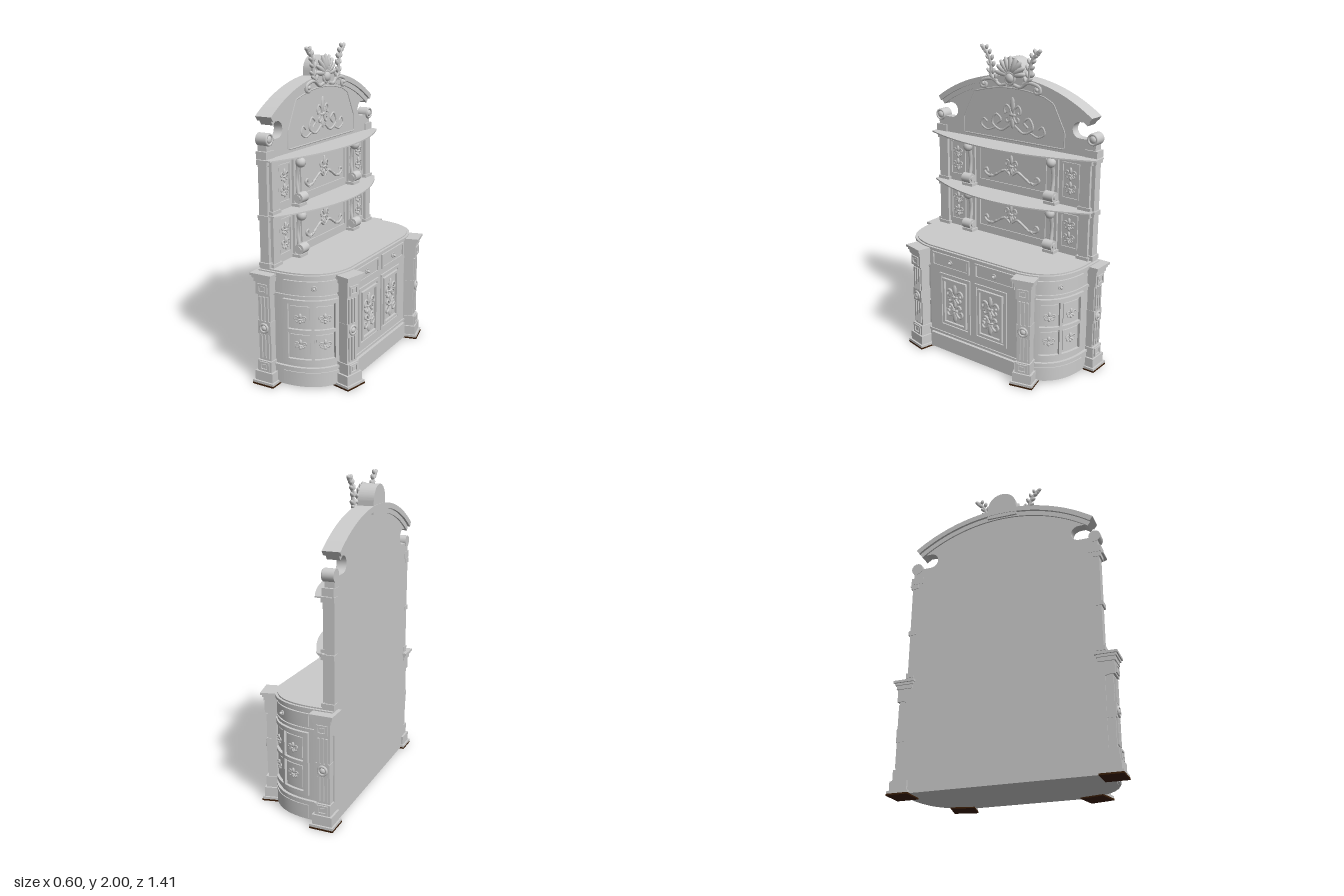
import * as THREE from 'three';
import { toCreasedNormals } from 'three/addons/utils/BufferGeometryUtils.js';

const grey = new THREE.MeshStandardMaterial({ color: 0xcccccc, side: THREE.DoubleSide });
const brown = new THREE.MeshStandardMaterial({ color: 0x3a1e08 });
const V = (x, y, z = 0) => new THREE.Vector3(x, y, z);

function add(parent, name, geo, x = 0, y = 0, z = 0, mat = grey) {
  const m = new THREE.Mesh(geo, mat);
  m.name = name;
  m.position.set(x, y, z);
  parent.add(m);
  return m;
}
function group(parent, name, x = 0, y = 0, z = 0) {
  const g = new THREE.Group();
  g.name = name;
  g.position.set(x, y, z);
  parent.add(g);
  return g;
}
// box given by centre x, bottom/top y and back/front z
const block = (p, name, x, w, y0, y1, z0, z1, mat) =>
  add(p, name, new THREE.BoxGeometry(w, y1 - y0, z1 - z0), x, (y0 + y1) / 2, (z0 + z1) / 2, mat);
// ellipsoid with half sizes
function blob(p, name, x, y, z, a, b, c, turn = 0) {
  const m = add(p, name, new THREE.SphereGeometry(1, 12, 8), x, y, z);
  m.scale.set(a, b, c);
  m.rotation.z = turn;
  return m;
}
const tube = (p, name, pts, r, n = 24) =>
  add(p, name, new THREE.TubeGeometry(new THREE.CatmullRomCurve3(pts), n, r, 6));
const extrude = (shape, depth) => toCreasedNormals(
  new THREE.ExtrudeGeometry(shape, { depth, bevelEnabled: false, curveSegments: 24 }), 0.5);
// rectangular moulding, centred on x, y
function frame(p, name, x, y, z, w, h, t, d) {
  const s = new THREE.Shape([[-1, -1], [1, -1], [1, 1], [-1, 1]].map(([a, b]) => new THREE.Vector2(a * w / 2, b * h / 2)));
  s.holes.push(new THREE.Path([[-1, -1], [-1, 1], [1, 1], [1, -1]].map(([a, b]) => new THREE.Vector2(a * (w / 2 - t), b * (h / 2 - t)))));
  return add(p, name, extrude(s, d), x, y, z);
}
// carved fleur, w wide and h tall
function fleur(p, x, y, z, w, h) {
  const g = group(p, 'fleurCarving', x, y, z);
  blob(g, 'leaf', 0, h * 0.26, 0, w * 0.13, h * 0.25, 0.008);
  blob(g, 'bud', 0, -h * 0.34, 0, w * 0.1, h * 0.16, 0.007);
  blob(g, 'band', 0, -h * 0.06, 0, w * 0.2, h * 0.06, 0.01);
  for (const s of [-1, 1]) {
    const curl = (pts) => tube(g, 'curl', pts.map(([a, b]) => V(s * a * w, b * h)), w * 0.055, 16);
    curl([[0.05, -0.08], [0.15, 0.15], [0.34, 0.24], [0.46, 0.1], [0.4, -0.03], [0.3, 0.03]]);
    curl([[0.05, -0.08], [0.14, -0.24], [0.28, -0.3], [0.36, -0.2], [0.28, -0.14]]);
  }
  return g;
}

// plan of the rounded side: x is width, y is depth
const side = new THREE.CubicBezierCurve(...[[0.62, -0.15], [0.62, 0.08], [0.52, 0.17], [0.36, 0.19]].map((a) => new THREE.Vector2(...a)));
function onSide(t, off) {
  const p = side.getPoint(t), d = side.getTangent(t);
  return { x: p.x + d.y * off, z: p.y - d.x * off, turn: Math.atan2(d.y, -d.x) };
}
function upright(pts, y0, y1) {
  const g = extrude(new THREE.Shape(pts.map(([x, z]) => new THREE.Vector2(x, -z))), y1 - y0);
  return g.rotateX(-Math.PI / 2).translate(0, y0, 0);
}
function slab(p, name, off, y0, y1) {
  const half = [[0.62 + off, -0.27]];
  for (let i = 0; i <= 20; i++) { const q = onSide(i / 20, off); half.push([q.x, q.z]); }
  add(p, name, upright([...half, ...half.map(([x, z]) => [-x, z]).reverse()], y0, y1));
}
function strip(p, name, t0, t1, y0, y1, a, b) {
  const pts = [];
  for (let i = 0; i <= 12; i++) { const q = onSide(t0 + (t1 - t0) * i / 12, b); pts.push([q.x, q.z]); }
  for (let i = 12; i >= 0; i--) { const q = onSide(t0 + (t1 - t0) * i / 12, a); pts.push([q.x, q.z]); }
  add(p, name, upright(pts, y0, y1));
}

// carved corner post facing +z
function post(p, x, z, turn) {
  const g = group(p, 'cornerPost', x, 0, z);
  g.rotation.y = turn;
  block(g, 'footPad', 0, 0.15, 0, 0.01, -0.07, 0.07, brown);
  const steps = [[0.148, 0.01, 0.025, 0.068], [0.126, 0.025, 0.085, 0.056], [0.1, 0.085, 0.155, 0.045], [0.086, 0.155, 0.58, 0.032],
    [0.1, 0.58, 0.66, 0.045], [0.114, 0.66, 0.685, 0.052], [0.128, 0.685, 0.7, 0.06], [0.146, 0.7, 0.715, 0.068]];
  for (const [w, y0, y1, d] of steps) block(g, 'postStep', 0, w, y0, y1, -d, d);
  for (const y of [0.12, 0.62]) {
    frame(g, 'squareMoulding', 0, y, 0.045, 0.07, 0.058, 0.012, 0.008);
    block(g, 'squareBoss', 0, 0.03, y - 0.012, y + 0.012, 0.04, 0.05);
  }
  for (const fx of [-0.025, 0, 0.025]) for (const [y0, y1] of [[0.17, 0.325], [0.41, 0.565]])
    block(g, 'reed', fx, 0.014, y0, y1, 0.03, 0.042);
  block(g, 'roundelBlock', 0, 0.09, 0.325, 0.41, -0.036, 0.04);
  add(g, 'roundelRing', new THREE.TorusGeometry(0.026, 0.008, 8, 24), 0, 0.367, 0.042);
  blob(g, 'roundelBoss', 0, 0.367, 0.042, 0.018, 0.018, 0.012);
}

function knob(p, x, y, z) {
  const k = group(p, 'knob', x, y, z);
  add(k, 'knobRing', new THREE.TorusGeometry(0.014, 0.004, 6, 20));
  blob(k, 'knobBall', 0, 0, 0.008, 0.009, 0.009, 0.012);
  return k;
}

function base(p) {
  slab(p, 'carcass', 0, 0.008, 0.7);
  slab(p, 'plinth', 0.012, 0.012, 0.12);
  slab(p, 'plinthMoulding', 0.018, 0.12, 0.135);
  slab(p, 'waistMoulding', 0.01, 0.572, 0.59);
  slab(p, 'cornice', 0.012, 0.69, 0.705);
  slab(p, 'counterTop', 0.022, 0.705, 0.722);
  slab(p, 'counterInset', 0.006, 0.722, 0.73);
  block(p, 'frontPlinth', 0, 0.69, 0.012, 0.115, 0.15, 0.222);
  block(p, 'frontPanel', 0, 0.72, 0.12, 0.7, 0.15, 0.2);
  for (const s of [-1, 1]) {
    // drawer and panelled door
    frame(p, 'drawerFrame', s * 0.178, 0.648, 0.2, 0.31, 0.095, 0.012, 0.012);
    block(p, 'drawerFront', s * 0.178, 0.27, 0.612, 0.684, 0.19, 0.206);
    knob(p, s * 0.178, 0.648, 0.21);
    frame(p, 'doorFrame', s * 0.146, 0.37, 0.2, 0.255, 0.38, 0.018, 0.01);
    frame(p, 'doorMoulding', s * 0.146, 0.37, 0.2, 0.195, 0.32, 0.016, 0.016);
    fleur(p, s * 0.146, 0.425, 0.208, 0.14, 0.15);
    fleur(p, s * 0.146, 0.312, 0.208, 0.14, 0.15).rotation.z = Math.PI;
    post(p, s * 0.425, 0.215, s * 0.23);
    post(p, s * 0.634, -0.22, s * Math.PI / 2);

    // rounded side with drawer and four-pane door
    const g = group(p, 'roundedSide');
    g.scale.x = s;
    strip(g, 'sideDrawer', 0.06, 0.78, 0.602, 0.682, -0.01, 0.012);
    strip(g, 'sidePlinthPanel', 0.06, 0.8, 0.02, 0.105, 0, 0.018);
    for (const [y0, y1] of [[0.165, 0.19], [0.36, 0.38], [0.54, 0.565]]) strip(g, 'doorRail', 0.06, 0.76, y0, y1, -0.01, 0.018);
    for (const [a, b] of [[0.06, 0.11], [0.38, 0.42], [0.71, 0.76]]) strip(g, 'doorStile', a, b, 0.165, 0.565, -0.01, 0.018);
    for (const [a, b] of [[0.13, 0.36], [0.44, 0.69]]) for (const [y0, y1] of [[0.205, 0.345], [0.395, 0.525]])
      strip(g, 'pane', a, b, y0, y1, -0.01, 0.008);
    const place = (o, t, y, off) => { const q = onSide(t, off); o.position.set(q.x, y, q.z); o.rotation.y = q.turn; };
    for (const t of [0.245, 0.565]) for (const y of [0.285, 0.45]) place(fleur(g, 0, 0, 0, 0.08, 0.065), t, y, 0.011);
    place(knob(g, 0, 0, 0), 0.42, 0.642, 0.016);
  }
}

// one tier of the back between two shelves
function tier(p, y0, y1) {
  const c = (y0 + y1) / 2, h = y1 - y0;
  frame(p, 'centrePanelFrame', 0, c, -0.21, 0.54, h - 0.09, 0.01, 0.008);
  fleur(p, 0, c + 0.025, -0.202, 0.1, 0.13);
  for (const s of [-1, 1]) {
    tube(p, 'swag', [[0.01, -0.04], [0.05, -0.015], [0.1, -0.04], [0.15, -0.07], [0.2, -0.065], [0.22, -0.04], [0.2, -0.025], [0.19, -0.045]]
      .map(([x, y]) => V(s * x, c + y, -0.203)), 0.008, 40);
    for (const [x, y] of [[0.07, -0.022], [0.12, -0.052], [0.17, -0.072]]) blob(p, 'swagLeaf', s * x, c + y, -0.202, 0.022, 0.009, 0.008, -s * 0.5);
    // bracket column
    const b = s * 0.33;
    block(p, 'bracketColumn', b, 0.065, y0, y1, -0.22, -0.195);
    block(p, 'bracketCap', b, 0.085, y1 - 0.025, y1, -0.22, -0.15);
    block(p, 'bracketFoot', b, 0.085, y0, y0 + 0.018, -0.22, -0.15);
    blob(p, 'bracketBall', b, y1 - 0.055, -0.165, 0.032, 0.032, 0.032);
    for (const [y, r, w] of [[y0 + 0.052, 0.033, 0.07], [y0 + 0.052, 0.018, 0.085]])
      add(p, 'bracketScroll', new THREE.CylinderGeometry(r, r, w, 20).rotateZ(Math.PI / 2), b, y, -0.165);
    tube(p, 'bracketStem', [V(b, y1 - 0.07, -0.18), V(b, c, -0.197), V(b, y0 + 0.07, -0.185)], 0.014, 12);
    // small carved panel and outer pilaster
    frame(p, 'smallPanelFrame', s * 0.45, c, -0.21, 0.125, h - 0.09, 0.008, 0.008);
    for (const o of [-0.045, 0.045]) fleur(p, s * 0.45, c + o, -0.203, 0.085, 0.085);
    block(p, 'pilaster', s * 0.563, 0.065, y0, y1, -0.22, -0.19);
    for (const [a, e] of [[y0, y0 + 0.02], [y1 - 0.035, y1]]) block(p, 'pilasterEnd', s * 0.563, 0.09, a, e, -0.22, -0.182);
  }
}

function shelf(p, y, w, front) {
  const pts = [[-w, -0.26], [w, -0.26]];
  for (let i = 0; i <= 32; i++) { const u = 1 - i / 16; pts.push([w * u, -0.165 + (front + 0.165) * (1 - u * u)]); }
  add(p, 'shelf', upright(pts, y - 0.004, y + 0.004));
}

const CY = 0.789; // centre height of the arch
function archBand(p, name, r0, r1, z0, z1) {
  const s = new THREE.Shape(), a = 0.62;
  s.absarc(0, CY, r1, Math.PI / 2 - a, Math.PI / 2 + a, false);
  s.absarc(0, CY, r0, Math.PI / 2 + a, Math.PI / 2 - a, true);
  add(p, name, extrude(s, z1 - z0), 0, 0, z0);
}

function pediment(p) {
  // backboard with a round notch on each side
  const half = [[0.63, 1.38], [0.63, 1.41], [0.615, 1.43], [0.615, 1.49], [0.555, 1.49]];
  for (let i = 0; i <= 10; i++) { const a = -Math.PI / 2 - Math.PI * i / 10; half.push([0.5 + 0.05 * Math.cos(a), 1.54 + 0.05 * Math.sin(a)]); }
  half.push([0.56, 1.59]);
  for (let i = 0; i <= 12; i++) { const a = 0.6 * (1 - i / 12); half.push([0.985 * Math.sin(a), CY + 0.985 * Math.cos(a)]); }
  const pts = [...half, ...half.map(([x, y]) => [-x, y]).reverse()].map((a) => new THREE.Vector2(...a));
  add(p, 'pedimentBoard', extrude(new THREE.Shape(pts), 0.06), 0, 0, -0.27);
  archBand(p, 'archMoulding', 0.965, 1.0, -0.28, -0.2);
  archBand(p, 'archCornice', 0.995, 1.028, -0.295, -0.185);

  // raised edge of the arched panel
  const rim = [[-0.395, 1.51], [-0.395, 1.405], [0.395, 1.405], [0.395, 1.51], [0.31, 1.675]];
  for (let i = 1; i <= 10; i++) { const a = 0.325 * (1 - i / 5); rim.push([0.95 * Math.sin(a), CY + 0.95 * Math.cos(a)]); }
  const rimPath = new THREE.CurvePath();
  rim.forEach(([x, y], i) => { const n = rim[(i + 1) % rim.length]; rimPath.add(new THREE.LineCurve3(V(x, y, -0.21), V(n[0], n[1], -0.21))); });
  add(p, 'panelBead', new THREE.TubeGeometry(rimPath, 120, 0.005, 5, true));

  // low carving on the panel
  fleur(p, 0, 1.58, -0.21, 0.14, 0.2);
  for (const s of [-1, 1]) {
    tube(p, 'panelScroll', [[0.02, 1.5], [0.09, 1.46], [0.16, 1.5], [0.13, 1.56], [0.09, 1.53], [0.12, 1.5]].map(([x, y]) => V(s * x, y, -0.21)), 0.008, 32);
    tube(p, 'panelScroll', [[0.14, 1.47], [0.2, 1.45], [0.25, 1.48], [0.23, 1.52], [0.2, 1.5]].map(([x, y]) => V(s * x, y, -0.21)), 0.007, 24);
    // scroll end on the shoulder
    add(p, 'shoulderScroll', new THREE.CylinderGeometry(0.038, 0.038, 0.07, 24).rotateX(Math.PI / 2), s * 0.597, 1.497, -0.237);
    add(p, 'shoulderRing', new THREE.TorusGeometry(0.031, 0.007, 8, 24), s * 0.597, 1.497, -0.202);
    blob(p, 'shoulderBoss', s * 0.597, 1.497, -0.202, 0.022, 0.022, 0.012);
    block(p, 'shoulderBase', s * 0.59, 0.085, 1.385, 1.43, -0.272, -0.2);
  }
}

function crest(p) {
  const key = new THREE.Shape();
  key.moveTo(-0.1, 1.76).lineTo(0.1, 1.76).lineTo(0.1, 1.84);
  key.absarc(0, 1.838, 0.095, 0, Math.PI, false);
  add(p, 'keyBlock', extrude(key, 0.105), 0, 0, -0.292);
  // shell fan
  for (let i = -4; i <= 4; i++) {
    const a = i * 0.36;
    blob(p, 'shellRib', 0.068 * Math.sin(a), 1.82 + 0.068 * Math.cos(a), -0.184, 0.017, 0.055, 0.016, -a);
  }
  blob(p, 'shellBoss', 0, 1.803, -0.178, 0.032, 0.032, 0.022);
  add(p, 'shellRing', new THREE.TorusGeometry(0.036, 0.008, 8, 24), 0, 1.803, -0.18);
  const leaf = new THREE.CatmullRomCurve3([V(0.1, 1.775), V(0.145, 1.81), V(0.15, 1.88), V(0.175, 1.94), V(0.215, 1.985)]);
  for (const s of [-1, 1]) {
    tube(p, 'crestScroll', [[0.03, 1.765], [0.08, 1.755], [0.13, 1.785], [0.18, 1.785], [0.225, 1.765], [0.225, 1.735], [0.195, 1.732], [0.19, 1.755], [0.207, 1.758]]
      .map(([x, y]) => V(s * x, y, -0.183)), 0.011, 48);
    blob(p, 'crestScrollEye', s * 0.207, 1.752, -0.18, 0.014, 0.014, 0.014);
    // acanthus leaf
    tube(p, 'leafStem', leaf.points.map((v) => V(s * v.x, v.y, -0.182)), 0.011);
    for (let i = 1; i <= 6; i++) for (const e of [-1, 1]) {
      const q = leaf.getPoint(i / 6.5), r = 0.024 - i * 0.0012;
      blob(p, 'leafLobe', s * (q.x + e * 0.018), q.y + 0.012, -0.183, 0.011, r, 0.012, -s * (0.25 + e * 0.6));
    }
    blob(p, 'leafTip', s * 0.213, 1.977, -0.183, 0.011, 0.024, 0.011, -s * 0.4);
  }
}

export function createModel() {
  const model = new THREE.Group();
  model.name = 'sideboard';
  const body = group(model, 'cabinet');
  base(group(body, 'lowerCabinet'));
  const upper = group(body, 'upperCabinet');
  block(upper, 'backPanel', 0, 1.24, 0.72, 1.385, -0.27, -0.21);
  for (const s of [-1, 1]) for (const y of [0.73, 1.02, 1.35]) block(upper, 'sideBlock', s * 0.605, 0.05, y, y + 0.03, -0.274, -0.2);
  tier(upper, 0.73, 1.045);
  tier(upper, 1.053, 1.376);
  shelf(upper, 1.048, 0.62, 0.005);
  shelf(upper, 1.38, 0.645, -0.02);
  pediment(group(body, 'pediment'));
  crest(group(body, 'crest'));
  body.rotation.y = Math.PI / 2; // doors face +x
  return model;
}
